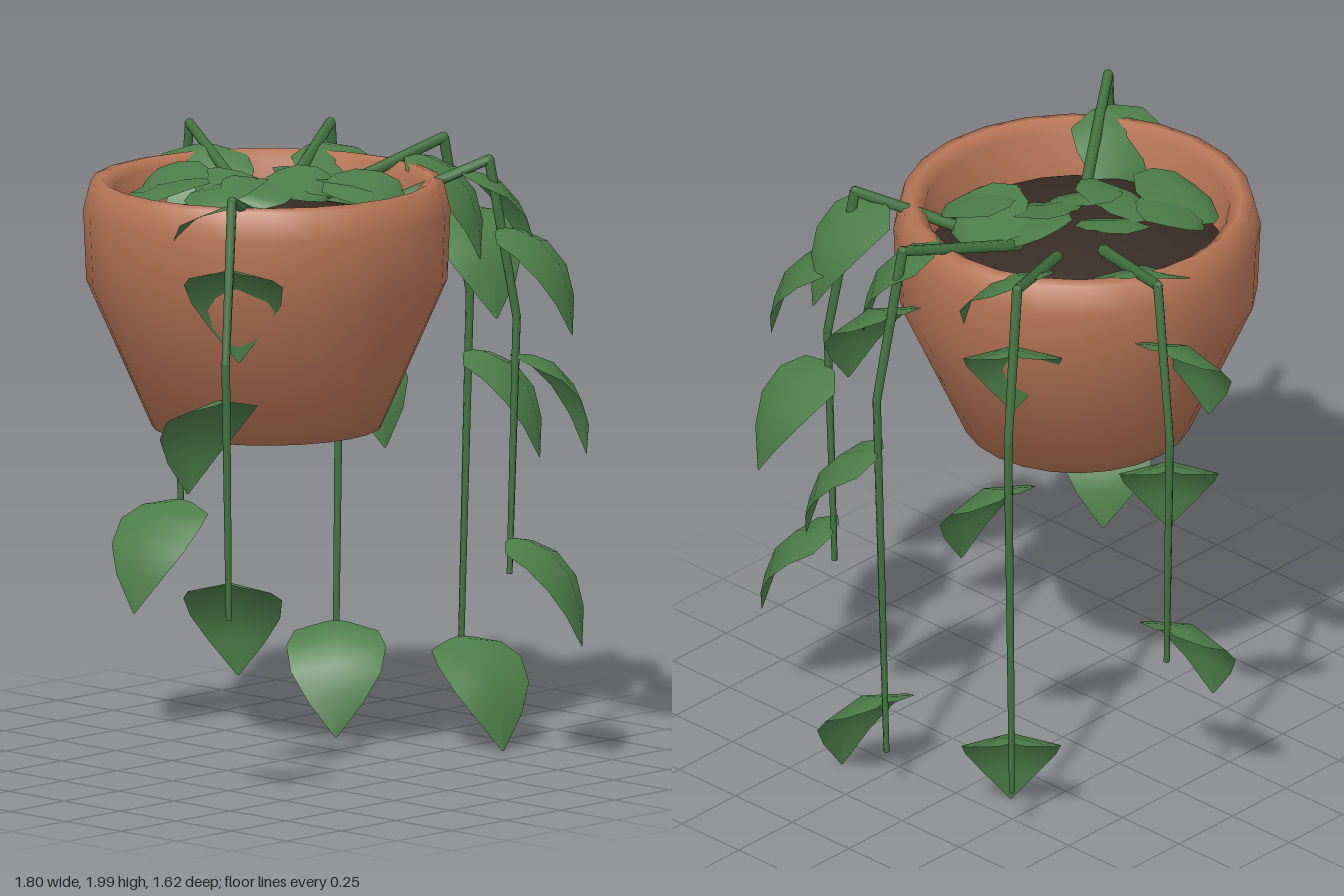
import * as THREE from 'three';

const mat = (name, color, side = THREE.FrontSide) => {
  const m = new THREE.MeshStandardMaterial({ color, side });
  m.name = name;
  return m;
};

// Arched, slightly cupped spade leaf, grown from the origin along +z: rows of [z, y, half width]
function leafGeometry() {
  const rows = [[0, 0, 0.04], [0.05, -0.003, 0.135], [0.13, -0.035, 0.16],
    [0.197, -0.11, 0.145], [0.232, -0.21, 0.09], [0.242, -0.34, 0.003]];
  const pos = [], idx = [];
  rows.forEach(([z, y, w], i) => {
    for (let j = -1; j <= 1; j++) {
      const cup = Math.abs(j) * w;
      pos.push(j * w, y - cup * 0.2, z - cup * 0.16);
    }
    if (i === 0) return;
    for (let j = 0; j < 2; j++) {
      const a = (i - 1) * 3 + j, b = a + 3;
      idx.push(a, b, a + 1, a + 1, b, b + 1);
    }
  });
  const g = new THREE.BufferGeometry();
  g.setAttribute('position', new THREE.Float32BufferAttribute(pos, 3));
  g.setIndex(idx);
  g.computeVertexNormals();
  return g;
}

export function createModel() {
  const root = new THREE.Group();
  root.name = 'hangingPlant';
  const clay = mat('terracotta', 0xb87556);
  const earth = mat('soil', 0x382c25);
  const stemGreen = mat('stemGreen', 0x437440);
  const leafGreen = mat('leafGreen', 0x4c7e48, THREE.DoubleSide);
  const add = (parent, name, geo, material) => {
    const m = new THREE.Mesh(geo, material);
    m.name = name;
    parent.add(m);
    return m;
  };
  const lathe = (pts) => new THREE.LatheGeometry(pts.map(([r, y]) => new THREE.Vector2(r, y)), 24);

  // Pot with a smooth base, rounded lip and domed soil
  const pot = new THREE.Group();
  pot.name = 'pot';
  pot.position.set(-0.115, 0, 0.045);
  root.add(pot);
  add(pot, 'potWall', lathe([[0.001, 1.125], [0.37, 1.125], [0.58, 1.6], [0.59, 1.83],
    [0.567, 1.922], [0.53, 1.93], [0.49, 1.9], [0.47, 1.72]]), clay);
  add(pot, 'soil', lathe([[0.475, 1.735], [0.4, 1.79], [0.22, 1.835], [0.001, 1.855]]), earth);

  const leafGeo = leafGeometry();
  const addLeaf = (parent, p, yawDegrees) => {
    const leaf = add(parent, 'leaf', leafGeo, leafGreen);
    leaf.position.copy(p);
    leaf.rotation.order = 'YXZ';
    leaf.rotation.y = THREE.MathUtils.degToRad(yawDegrees);
    return leaf;
  };

  // Trailing vines: root, bend over the rim, shoulder and end, plus leaf heading
  const vines = [
    { path: [[-0.3, 1.85, 0.18], [-0.7, 1.985, 0.46], [-0.78, 1.47, 0.51], [-0.755, 0.63, 0.5]], yaw: 127 },
    { path: [[-0.03, 1.85, -0.15], [0.19, 1.985, -0.6], [0.23, 1.47, -0.69], [0.212, 0.63, -0.66]], yaw: -84 },
    { path: [[0.1, 1.85, -0.07], [0.52, 1.985, -0.29], [0.61, 1.47, -0.335], [0.575, 0.165, -0.32]], yaw: -46 },
    { path: [[0.18, 1.85, 0.31], [0.41, 1.985, 0.53], [0.475, 1.47, 0.59], [0.463, 0.63, 0.57]], yaw: 26 },
    { path: [[0.13, 1.85, 0.07], [0.59, 1.985, 0.15], [0.695, 1.47, 0.165], [0.66, 0.165, 0.155]], yaw: -12 },
  ];
  const radii = [0.02, 0.017, 0.014, 0.01];
  const up = new THREE.Vector3(0, 1, 0);
  for (const { path, yaw } of vines) {
    const vine = new THREE.Group();
    vine.name = 'vine';
    root.add(vine);
    const pts = path.map((p) => new THREE.Vector3(...p));
    for (let i = 0; i < 3; i++) {
      const d = pts[i + 1].clone().sub(pts[i]);
      const seg = add(vine, 'stem', new THREE.CylinderGeometry(radii[i + 1], radii[i], d.length(), 6), stemGreen);
      seg.position.copy(pts[i]).addScaledVector(d, 0.5);
      seg.quaternion.setFromUnitVectors(up, d.normalize());
      if (i < 2) {
        const joint = add(vine, 'stemJoint', new THREE.SphereGeometry(radii[i + 1], 6, 4), stemGreen);
        joint.position.copy(pts[i + 1]);
      }
    }
    // Leaves alternate between two headings down the vine
    [0.715, 1.43, 2.145, 2.86].forEach((t, k) => {
      const i = Math.floor(t);
      addLeaf(vine, pts[i].clone().lerp(pts[i + 1], t - i), yaw + (k % 2 ? 0 : 38));
    });
  }

  // Crown of flatter, tilted leaves over the soil: x, y, z, heading, roll, size
  const crown = new THREE.Group();
  crown.name = 'crown';
  root.add(crown);
  [[-0.26, 1.93, -0.11, -112, 0.12, 1.05], [-0.2, 1.94, -0.14, -135, -0.15, 0.9],
    [-0.14, 1.92, -0.04, -80, 0.2, 0.9], [-0.03, 1.91, -0.12, -84, -0.2, 0.8],
    [-0.1, 1.92, 0.02, -60, -0.2, 0.75], [-0.04, 1.93, 0.0, 10, 0.2, 0.8],
    [0.03, 1.92, 0.13, 45, -0.15, 1], [0.04, 1.93, 0.18, 20, 0.12, 1],
    [-0.05, 1.92, 0.06, 75, 0.2, 0.9],
  ].forEach(([x, y, z, yaw, roll, size]) => {
    const leaf = addLeaf(crown, new THREE.Vector3(x, y, z), yaw);
    leaf.rotation.z = roll;
    leaf.scale.set(size, size * 0.28, size);
  });

  return root;
}
